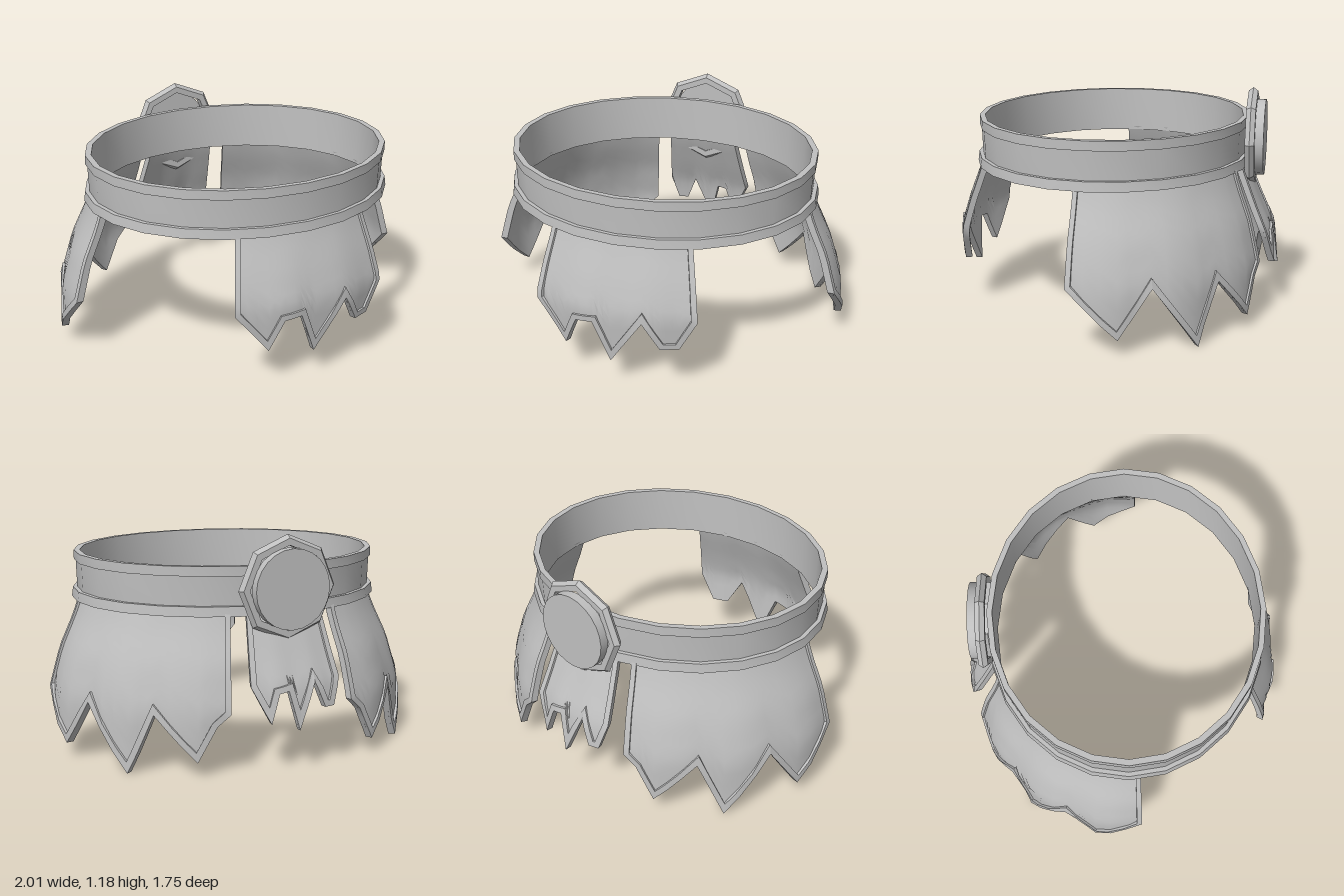
import * as THREE from 'three';
import { toCreasedNormals } from 'three/addons/utils/BufferGeometryUtils.js';

const RX = 0.83, RZ = 0.735, CZ = 0.037; // belt ellipse
const THICK = 0.026, RAISE = 0.013, RIM = 0.03, TOP = 0.81;
const rad = THREE.MathUtils.degToRad;

// Piecewise-linear lookup in [key, value] pairs with rising keys
function lookup(table, k) {
  if (k <= table[0][0]) return table[0][1];
  for (let i = 1; i < table.length; i++) {
    const [k0, v0] = table[i - 1], [k1, v1] = table[i];
    if (k <= k1) return v0 + (v1 - v0) * (k - k0) / (k1 - k0);
  }
  return table[table.length - 1][1];
}

function subdivide(points, n) {
  const out = [];
  for (let i = 0; i < points.length - 1; i++) {
    for (let s = 0; s < n; s++) {
      const f = s / n, [a, b] = [points[i], points[i + 1]];
      out.push([a[0] + (b[0] - a[0]) * f, a[1] + (b[1] - a[1]) * f]);
    }
  }
  out.push(points[points.length - 1]);
  return out;
}

function creased(positions) {
  const geo = new THREE.BufferGeometry();
  geo.setAttribute('position', new THREE.Float32BufferAttribute(positions, 3));
  return toCreasedNormals(geo, 0.55);
}

// Curved cloth panel with a ragged hem [degrees, y] and a flare table [y, radius factor]
function makePanel(name, hem, flare, pleat, material) {
  const group = new THREE.Group();
  group.name = name;
  const mid = (hem[0][0] + hem[hem.length - 1][0]) / 2;

  const point = (deg, y, off) => {
    const fold = pleat[0] * Math.cos((deg - mid) * pleat[1]) * (TOP - y) / TOP;
    const r = lookup(flare, y) + (fold + off) / RX, t = rad(deg);
    return [RX * r * Math.sin(t), y, CZ + RZ * r * Math.cos(t)];
  };
  const quad = (out, a, b, c, d) => out.push(...a, ...b, ...c, ...a, ...c, ...d);

  // Cloth: outer and inner sheets
  const cols = subdivide(hem, 3), rows = 10, cloth = [];
  for (let i = 0; i < cols.length - 1; i++) {
    for (let j = 0; j < rows; j++) {
      const at = (c, k, off) => point(c[0], TOP + (c[1] - TOP) * k / rows, off);
      const [p, q] = [cols[i], cols[i + 1]];
      quad(cloth, at(p, j, 0), at(p, j + 1, 0), at(q, j + 1, 0), at(q, j, 0));
      quad(cloth, at(q, j, -THICK), at(q, j + 1, -THICK), at(p, j + 1, -THICK), at(p, j, -THICK));
    }
  }
  const clothMesh = new THREE.Mesh(creased(cloth), material);
  clothMesh.name = 'cloth';

  // Rim: raised border down one side, along the hem and up the other
  const first = hem[0], last = hem[hem.length - 1];
  const left = subdivide([[first[0], TOP], first], 8), right = subdivide([last, [last[0], TOP]], 8);
  const path = [...left.slice(0, -1), ...cols, ...right.slice(1)];
  const k = rad(1) * 0.92; // degrees to surface length
  const normal = (a, b) => new THREE.Vector2(a[1] - b[1], (b[0] - a[0]) * k).normalize();
  const sections = path.map((p, i) => {
    const n1 = normal(path[Math.max(i - 1, 0)], path[Math.max(i, 1)]);
    const e = path.length - 1;
    const n2 = normal(path[Math.min(i, e - 1)], path[Math.min(i + 1, e)]);
    const m = n1.clone().add(n2).multiplyScalar(RIM / Math.max(1 + n1.dot(n2), 0.35));
    const q = [p[0] + m.x / k, p[1] + m.y];
    return [point(...p, -THICK), point(...p, RAISE), point(...q, RAISE), point(...q, -0.006)];
  });
  const rim = [];
  for (let i = 0; i < sections.length - 1; i++) {
    const [s, t] = [sections[i], sections[i + 1]];
    for (let j = 0; j < 3; j++) quad(rim, s[j], t[j], t[j + 1], s[j + 1]);
  }
  const rimMesh = new THREE.Mesh(creased(rim), material);
  rimMesh.name = 'rim';
  group.add(clothMesh, rimMesh);
  return group;
}

function lathe(profile, segments) {
  return new THREE.LatheGeometry(profile.map(([r, y]) => new THREE.Vector2(r, y)), segments);
}

export function createModel() {
  const model = new THREE.Group();
  model.name = 'skirtBelt';
  const grey = new THREE.MeshStandardMaterial({ color: 0xc0c0c0, side: THREE.DoubleSide });
  grey.name = 'grey';

  // Belt: oval band with a thicker top and bottom edge
  let beltGeo = lathe([[0.79, 0.79], [0.845, 0.79], [0.838, 0.84], [0.815, 0.84], [0.82, 0.99],
    [0.83, 0.99], [0.83, 1.04], [0.797, 1.04], [0.79, 0.79]], 24);
  beltGeo.scale(1, 1, 0.88);
  beltGeo.translate(0, 0, 0.04);
  beltGeo.deleteAttribute('uv');
  const belt = new THREE.Mesh(toCreasedNormals(beltGeo, 0.5), grey);
  belt.name = 'belt';
  model.add(belt);

  // Front panel
  const frontHem = [[-26.5, 0.42], [-15.8, 0.21], [-10.9, 0.375], [-5.4, 0.385], [0, 0.16],
    [10.6, 0.42], [16.1, 0.27], [22.2, 0.27], [27.5, 0.43]];
  model.add(makePanel('frontPanel', frontHem,
    [[0.16, 1.11], [0.45, 1.14], [0.6, 1.08], [0.8, 0.98]], [-0.012, 0.3], grey));

  // Back panel: narrower, under the buckle
  const backHem = frontHem.map(([t, y]) => [180 + t * 0.54, 0.8 + (y - 0.8) * 0.89]);
  model.add(makePanel('backPanel', backHem,
    [[0.23, 1.225], [0.45, 1.18], [0.6, 1.09], [0.8, 0.98]], [-0.008, 0.55], grey));

  // Side panels, mirrored
  const sideHem = [[85, 0.34], [102, 0.09], [113, 0.34], [128.6, 0.01], [137, 0.32],
    [150.4, 0.09], [156, 0.27], [160, 0.33]];
  const sideFlare = [[0.01, 1.2], [0.09, 1.19], [0.34, 1.19], [0.55, 1.115], [0.69, 1.035], [0.8, 0.98]];
  const mirrored = sideHem.map(([t, y]) => [-t, y]).reverse();
  model.add(makePanel('leftPanel', sideHem, sideFlare, [0.014, 0.25], grey));
  model.add(makePanel('rightPanel', mirrored, sideFlare, [0.014, 0.25], grey));

  // Buckle: bevelled eight-sided ring with a round plate behind it
  const buckle = new THREE.Group();
  buckle.name = 'buckle';
  const ringGeo = lathe([[0.215, -0.025], [0.25, -0.025], [0.268, 0], [0.25, 0.025],
    [0.215, 0.025], [0.215, -0.025]], 8);
  ringGeo.deleteAttribute('uv');
  const ring = new THREE.Mesh(toCreasedNormals(ringGeo, 0.3), grey);
  ring.name = 'buckleRing';
  const plate = new THREE.Mesh(new THREE.CylinderGeometry(0.204, 0.204, 0.05, 24), grey);
  plate.name = 'bucklePlate';
  plate.position.y = 0.045;
  buckle.add(ring, plate);
  buckle.rotation.x = -Math.PI / 2;
  buckle.position.set(0, 0.925, -0.712);
  model.add(buckle);

  return model;
}
